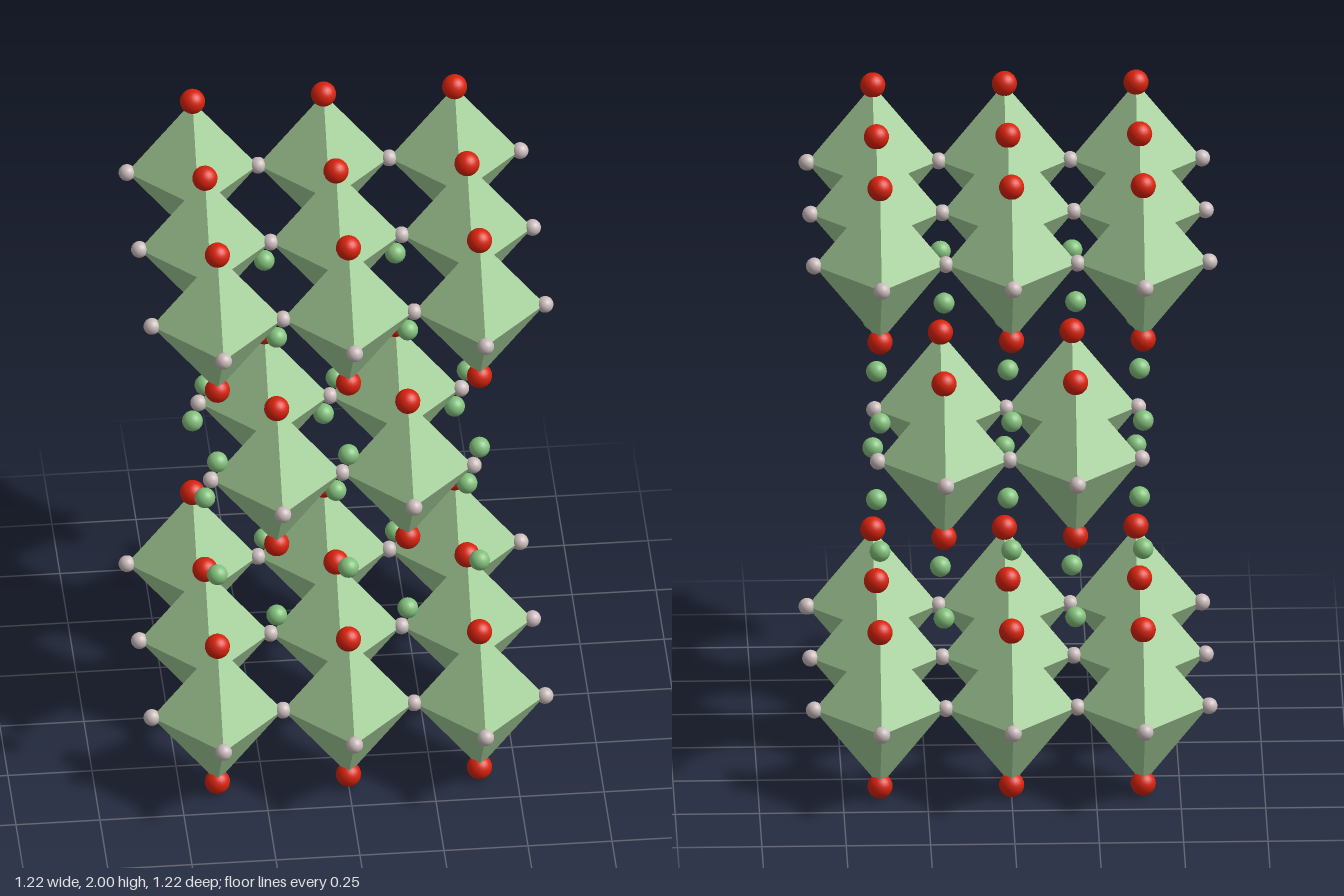
import * as THREE from 'three';

const CELL = 0.39;          // spacing between neighbouring octahedra
const HALF = CELL / 2;      // horizontal reach of an octahedron
const TALL = 0.247;         // vertical reach of an octahedron
const LAYER = 0.7155;       // distance between octahedron layers

const material = (name, color) => {
  const m = new THREE.MeshStandardMaterial({ color });
  m.name = name;
  return m;
};

// n x n square grid of [x, z] positions centred on the origin
function grid(n) {
  const points = [];
  for (let i = 0; i < n; i++)
    for (let j = 0; j < n; j++)
      points.push([(i - (n - 1) / 2) * CELL, (j - (n - 1) / 2) * CELL]);
  return points;
}

export function createModel() {
  const model = new THREE.Group();
  model.name = 'layeredCrystal';

  const paleGreen = material('paleGreen', 0xa6d09b);
  const leafGreen = material('leafGreen', 0x83c07c);
  const red = material('red', 0xd8220c);
  const pinkGrey = material('pinkGrey', 0xcabbbb);

  const octahedron = new THREE.OctahedronGeometry(1, 0).scale(HALF, TALL, HALF);
  const apexBall = new THREE.SphereGeometry(0.0375, 20, 14);
  const cornerBall = new THREE.SphereGeometry(0.025, 20, 14);
  const looseBall = new THREE.SphereGeometry(0.031, 20, 14);

  const add = (parent, name, geometry, mat, x, y, z) => {
    const mesh = new THREE.Mesh(geometry, mat);
    mesh.name = name;
    mesh.position.set(x, y, z);
    parent.add(mesh);
  };

  // Layers of corner-sharing octahedra: 3x3, 2x2, 3x3
  [['bottomLayer', 3, 1 - LAYER], ['middleLayer', 2, 1], ['topLayer', 3, 1 + LAYER]].forEach(([name, n, y]) => {
    const layer = new THREE.Group();
    layer.name = name;
    layer.position.y = y;
    model.add(layer);
    const corners = new Map(); // shared corners get a single ball
    for (const [x, z] of grid(n)) {
      add(layer, 'octahedron', octahedron, paleGreen, x, 0, z);
      for (const s of [-1, 1]) {
        add(layer, 'apexBall', apexBall, red, x, s * TALL, z);
        for (const [cx, cz] of [[x + s * HALF, z], [x, z + s * HALF]])
          corners.set(`${Math.round(cx * 1000)},${Math.round(cz * 1000)}`, [cx, cz]);
      }
    }
    for (const [x, z] of corners.values())
      add(layer, 'cornerBall', cornerBall, pinkGrey, x, 0, z);
  });

  // Loose balls floating between the layers
  const loose = new THREE.Group();
  loose.name = 'looseBalls';
  model.add(loose);
  for (const [n, offset] of [[3, 0.2065], [2, 0.508]])
    for (const s of [-1, 1])
      for (const [x, z] of grid(n))
        add(loose, 'looseBall', looseBall, leafGreen, x, 1 + s * offset, z);

  return model;
}
